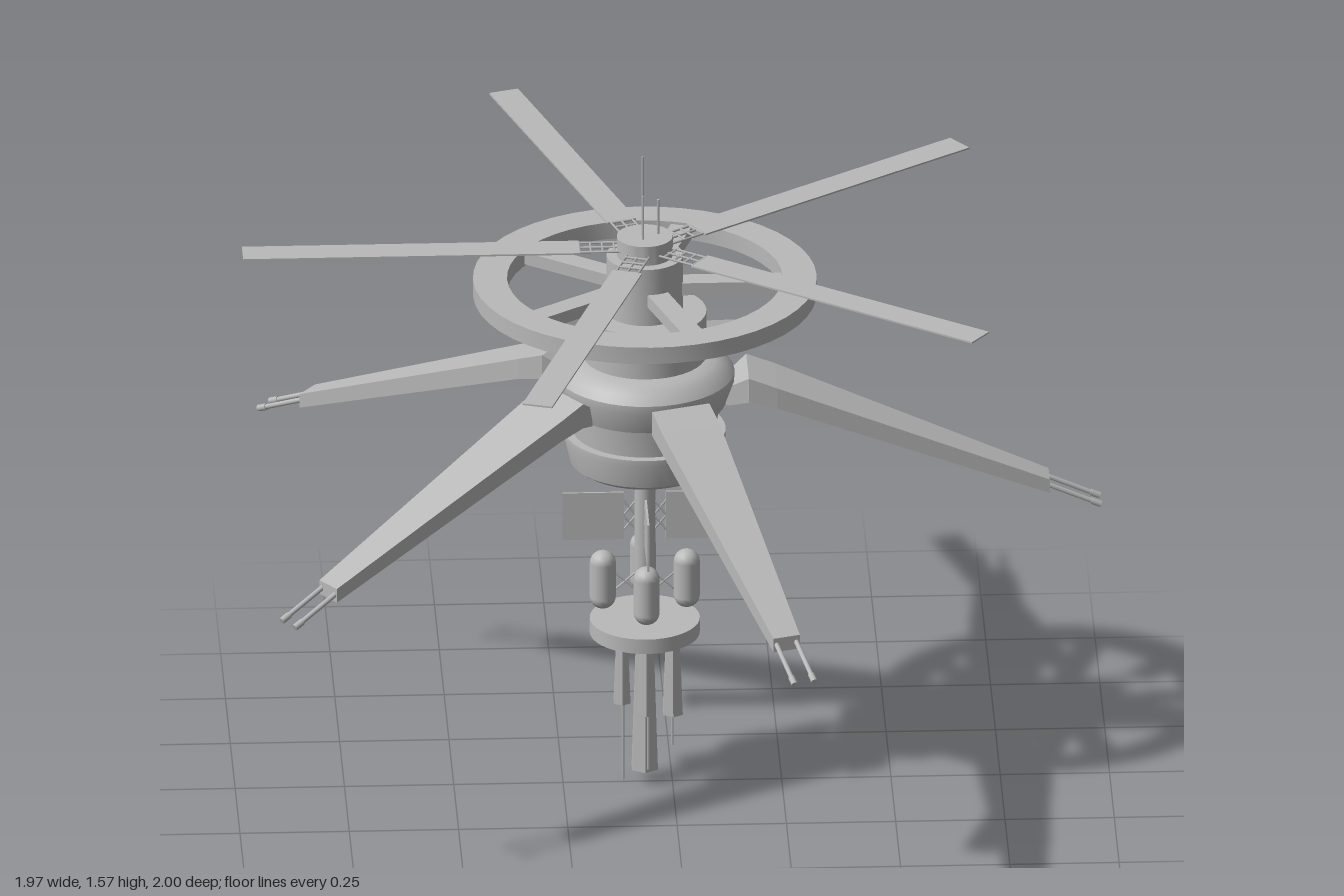
import * as THREE from 'three';
import { toCreasedNormals } from 'three/addons/utils/BufferGeometryUtils.js';

export function createModel() {
  const hullGrey = new THREE.MeshStandardMaterial({ color: 0xb9b9b9 });
  hullGrey.name = 'hullGrey';

  const model = new THREE.Group();
  model.name = 'spaceStation';
  const station = new THREE.Group();
  station.name = 'stationAxis';
  station.position.x = -0.063;
  model.add(station);

  const add = (parent, name, geo, x = 0, y = 0, z = 0) => {
    const mesh = new THREE.Mesh(geo, hullGrey);
    mesh.name = name;
    mesh.position.set(x, y, z);
    parent.add(mesh);
    return mesh;
  };
  const lathe = (pts, seg = 40) => toCreasedNormals(
    new THREE.LatheGeometry(pts.map(([r, y]) => new THREE.Vector2(r, y)), seg), 0.5);
  // round rod between two points
  const rod = (parent, name, a, b, r, seg = 6) => {
    const p = new THREE.Vector3(...a), q = new THREE.Vector3(...b);
    const dir = q.clone().sub(p);
    const mesh = add(parent, name, new THREE.CylinderGeometry(r, r, dir.length(), seg));
    mesh.position.copy(p).add(q).multiplyScalar(0.5);
    mesh.quaternion.setFromUnitVectors(new THREE.Vector3(0, 1, 0), dir.normalize());
    return mesh;
  };
  // copies of one assembly around the station axis; each is built pointing to +x
  const around = (name, count, start, build) => {
    for (let i = 0; i < count; i++) {
      const g = new THREE.Group();
      g.name = name;
      g.rotation.y = start + (i / count) * Math.PI * 2;
      build(g, i);
      station.add(g);
    }
  };

  // main hull, bottom to top
  add(station, 'hull', lathe([
    [0, 0.80], [0.155, 0.80], [0.172, 0.812], [0.185, 0.87], [0.185, 0.885], [0.165, 0.885],
    [0.17, 0.95], [0.185, 0.955], [0.205, 1.01], [0.205, 1.03], [0.19, 1.05], [0.165, 1.066],
    [0.141, 1.07], [0.141, 1.18], [0.088, 1.18], [0.088, 1.32], [0.064, 1.32],
    [0.064, 1.367], [0, 1.367],
  ]));

  // habitat ring and its spokes
  add(station, 'habitatRing', lathe([
    [0.315, 1.222], [0.393, 1.222], [0.393, 1.263], [0.315, 1.263], [0.315, 1.222],
  ], 48));
  around('ringSpoke', 5, 0, (g) => {
    add(g, 'spoke', new THREE.BoxGeometry(0.25, 0.03, 0.05), 0.2, 1.242, 0);
  });

  // flat solar blades on short lattice trusses
  around('solarBlade', 5, Math.PI, (g) => {
    add(g, 'blade', new THREE.BoxGeometry(0.77, 0.004, 0.07), 0.535, 1.34, 0);
    for (const z of [-0.026, 0, 0.026]) {
      rod(g, 'trussRail', [0.055, 1.34, z], [0.152, 1.34, z], 0.003, 5);
    }
    for (const x of [0.07, 0.097, 0.124, 0.15]) {
      rod(g, 'trussBar', [x, 1.34, -0.026], [x, 1.34, 0.026], 0.003, 5);
    }
  });

  // top antennas
  for (const [x, z, top] of [[-0.005, 0, 1.565], [0.031, -0.011, 1.452], [-0.005, 0.02, 1.475]]) {
    rod(station, 'antenna', [x, 1.36, z], [x, top, z], 0.003);
  }

  // docking arms: rectangular sections [radius, top, bottom, half width]
  const armSections = [
    [0.185, 1.0, 0.955, 0.04],
    [0.235, 1.035, 0.975, 0.07],
    [0.30, 1.01, 0.96, 0.071],
    [0.925, 0.752, 0.718, 0.032],
  ];
  const armGeometry = () => {
    const pos = [], idx = [];
    for (const [r, t, b, w] of armSections) pos.push(r, t, -w, r, t, w, r, b, w, r, b, -w);
    const quad = (a, b, c, d) => idx.push(a, b, c, a, c, d);
    const last = (armSections.length - 1) * 4;
    for (let i = 0; i < last; i += 4) {
      for (let j = 0; j < 4; j++) {
        const k = (j + 1) % 4;
        quad(i + j, i + k, i + 4 + k, i + 4 + j);
      }
    }
    quad(3, 2, 1, 0);
    quad(last, last + 1, last + 2, last + 3);
    const geo = new THREE.BufferGeometry();
    geo.setAttribute('position', new THREE.Float32BufferAttribute(pos, 3));
    geo.setIndex(idx);
    const flat = geo.toNonIndexed();
    flat.computeVertexNormals();
    return flat;
  };
  around('dockingArm', 5, 0, (g) => {
    add(g, 'arm', armGeometry());
    for (const z of [-0.024, 0.024]) {
      rod(g, 'armProng', [0.89, 0.75, z], [1.03, 0.69, z], 0.006, 8);
      rod(g, 'prongTip', [1.02, 0.694, z], [1.042, 0.685, z], 0.008, 8);
    }
  });

  // lower mast
  add(station, 'mast', new THREE.CylinderGeometry(0.024, 0.024, 0.44, 16), 0, 0.6, 0);

  // four radiator panels with lattice mounts, and four tanks with braces
  around('serviceModule', 4, 0, (g) => {
    add(g, 'radiatorPanel', new THREE.BoxGeometry(0.14, 0.117, 0.005), 0.118, 0.667, 0);
    for (const [a, b] of [[0.63, 0.667], [0.667, 0.63], [0.667, 0.705], [0.705, 0.667]]) {
      rod(g, 'panelBrace', [0.02, a, 0], [0.05, b, 0], 0.0025, 5);
    }
    add(g, 'tank', new THREE.CapsuleGeometry(0.03, 0.088, 5, 16), 0.096, 0.508, 0)
      .geometry.scale(1, 0.96, 1);
    rod(g, 'tankBrace', [0.02, 0.48, 0], [0.07, 0.525, 0], 0.0025, 5);
    rod(g, 'tankBrace', [0.02, 0.525, 0], [0.07, 0.48, 0], 0.0025, 5);
  });

  // lower deck
  add(station, 'lowerDeck', new THREE.CylinderGeometry(0.126, 0.126, 0.036, 40), 0, 0.393, 0);

  // hanging towers: x, z, bottom, bottom radius
  const towers = [
    [0, 0, 0.035, 0.034], [0.064, 0, 0.17, 0.026], [-0.052, 0, 0.2, 0.022],
    [0, 0.068, 0.2, 0.022], [0, -0.066, 0.13, 0.026],
  ];
  for (const [x, z, bottom, r] of towers) {
    const h = 0.38 - bottom;
    const geo = new THREE.CylinderGeometry(r * 0.65, r, h, 6).toNonIndexed();
    geo.computeVertexNormals();
    add(station, 'hangingTower', geo, x, bottom + h / 2, z);
  }
  // needles below the towers
  for (const [x, z, bottom] of [[-0.049, -0.014, 0], [0.063, 0, 0.09], [0.005, 0.066, 0.06]]) {
    rod(station, 'needle', [x, 0.3, z], [x, bottom, z], 0.0035);
  }

  return model;
}
